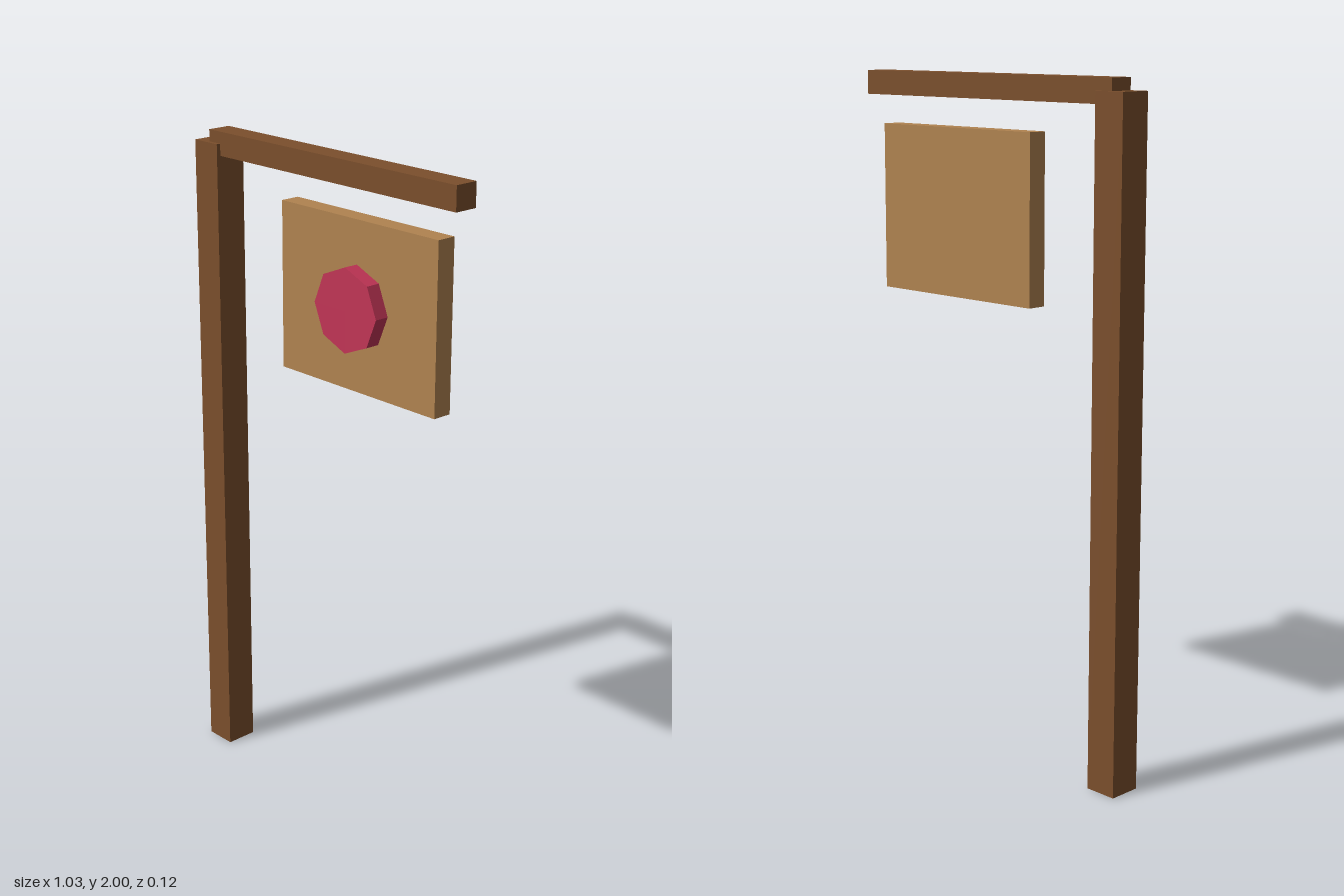
import * as THREE from 'three';

export function createModel() {
  const group = new THREE.Group();
  const material = (name, color) => {
    const m = new THREE.MeshStandardMaterial({ color, flatShading: true });
    m.name = name;
    return m;
  };
  const darkWood = material('dark wood', 0x7b4f2c);
  const lightWood = material('light wood', 0xb08350);
  const crimson = material('crimson', 0xc13556);

  const add = (name, geometry, mat, x, y, z) => {
    const mesh = new THREE.Mesh(geometry, mat);
    mesh.name = name;
    mesh.position.set(x, y, z);
    group.add(mesh);
  };

  // Upright post and the arm resting in its top
  add('post', new THREE.BoxGeometry(0.098, 1.965, 0.098), darkWood, -0.468, 0.9825, -0.013);
  add('arm', new THREE.BoxGeometry(0.983, 0.07, 0.073), darkWood, 0.0245, 1.965, -0.013);

  // Sign board below the arm
  add('signBoard', new THREE.BoxGeometry(0.61, 0.49, 0.059), lightWood, 0.146, 1.6, -0.013);

  // Eight-sided emblem on the front of the board
  const emblem = new THREE.CylinderGeometry(0.122, 0.122, 0.049, 8).rotateX(Math.PI / 2);
  add('emblem', emblem, crimson, 0.146, 1.598, 0.036);

  return group;
}
